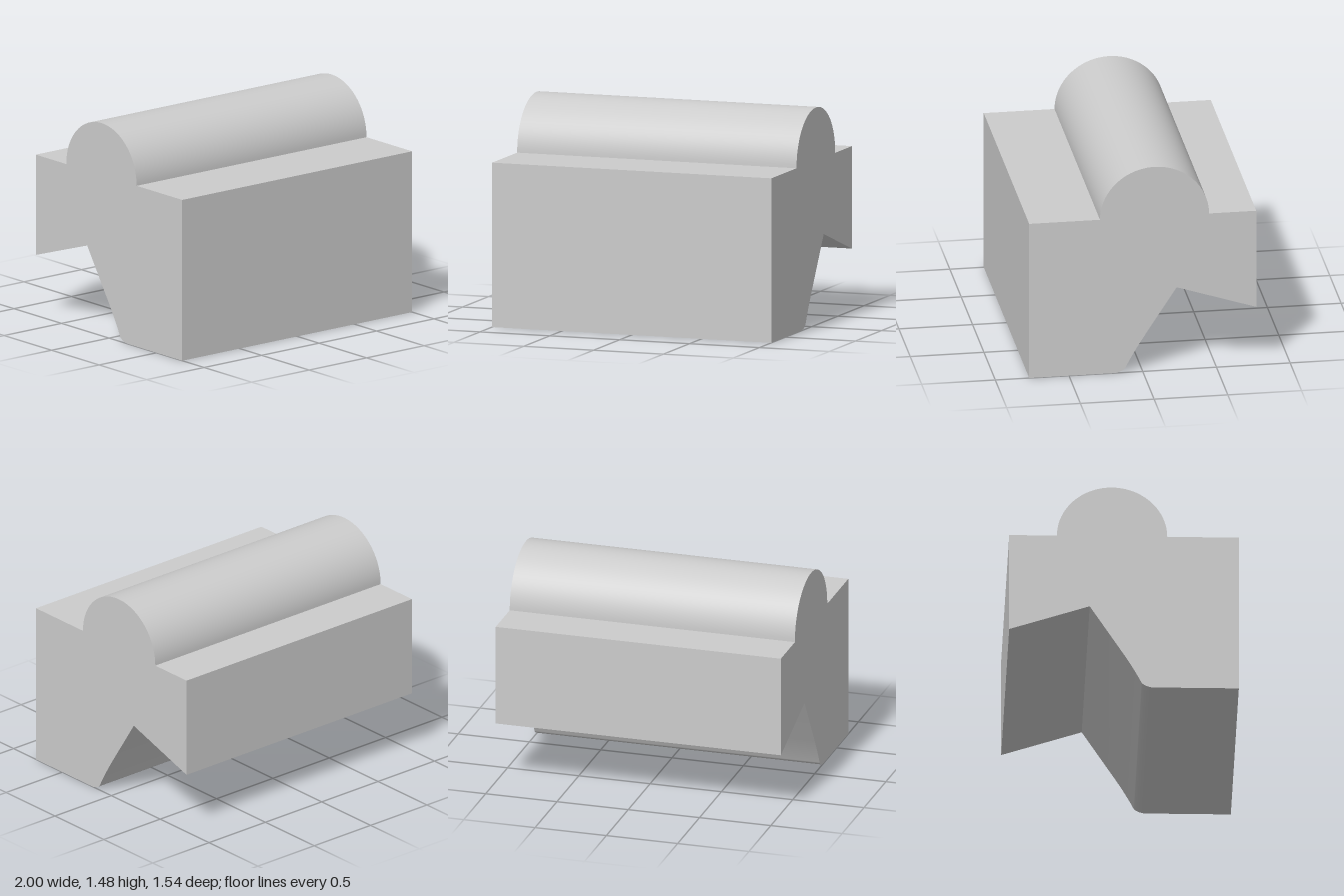
import * as THREE from 'three';
import { toCreasedNormals } from 'three/addons/utils/BufferGeometryUtils.js';

const LENGTH = 2;

export function createModel() {
  const group = new THREE.Group();
  group.name = 'ridgedBlock';

  // Side profile: horizontal axis runs from front to back, vertical is height
  const profile = new THREE.Shape();
  profile.moveTo(-0.77, 0);
  profile.lineTo(-0.19, 0);
  // softened heel and undercut slope
  profile.quadraticCurveTo(-0.15, 0.005, -0.12, 0.03);
  profile.quadraticCurveTo(-0.07, 0.13, 0, 0.24);
  profile.lineTo(0.23, 0.595);
  // rear overhang
  profile.lineTo(0.77, 0.42);
  profile.lineTo(0.77, 1.115);
  profile.lineTo(0.45, 1.115);
  // rounded ridge on top
  profile.absellipse(0.08, 1.115, 0.37, 0.36, 0, Math.PI, false);
  profile.lineTo(-0.77, 1.115);
  profile.closePath();

  // Extrude along the width and centre it
  const extruded = new THREE.ExtrudeGeometry(profile, {
    depth: LENGTH, bevelEnabled: false, curveSegments: 24,
  });
  extruded.translate(0, 0, -LENGTH / 2);
  extruded.rotateY(Math.PI / 2);

  const block = new THREE.Mesh(
    toCreasedNormals(extruded, 0.5),
    new THREE.MeshStandardMaterial({ color: 0xcccccc }),
  );
  block.name = 'blockBody';
  group.add(block);
  return group;
}
